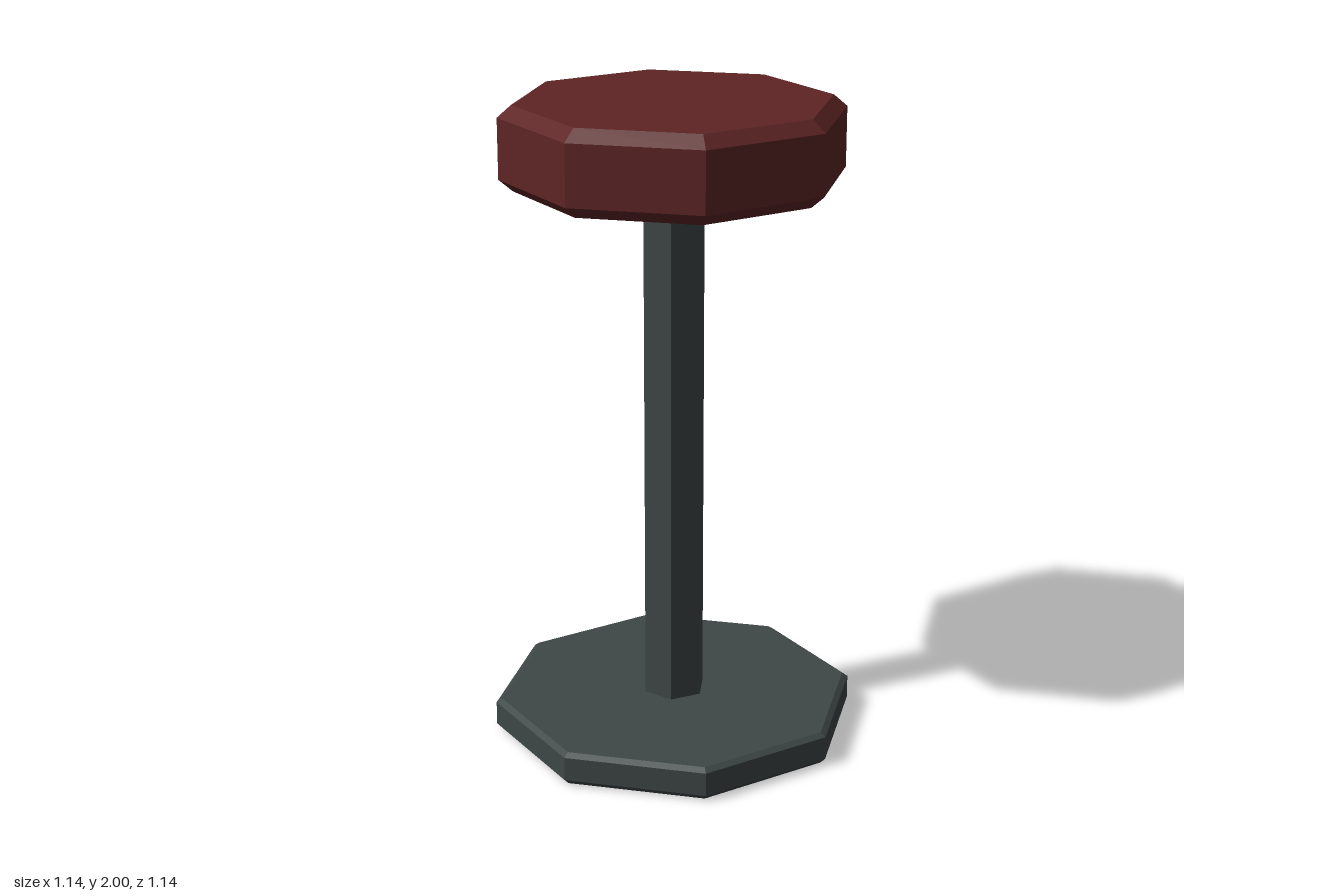
import * as THREE from 'three';

const upholstery = new THREE.MeshStandardMaterial({ color: 0x5e2424, flatShading: true });
upholstery.name = 'dark red upholstery';
const metal = new THREE.MeshStandardMaterial({ color: 0x3e4646, flatShading: true });
metal.name = 'dark grey metal';

// Closed eight-sided disc with chamfered rims, corners on the x and z axes
function bevelledDisc(name, material, y0, y1, radius, rim, lower, upper) {
  const profile = [
    [0, y0], [rim, y0], [radius, y0 + lower],
    [radius, y1 - upper], [rim, y1], [0, y1],
  ].map(([r, y]) => new THREE.Vector2(r, y));
  const mesh = new THREE.Mesh(new THREE.LatheGeometry(profile, 8), material);
  mesh.name = name;
  return mesh;
}

export function createModel() {
  const stool = new THREE.Group();
  stool.name = 'barStool';

  // Floor plate
  stool.add(bevelledDisc('base', metal, 0, 0.105, 0.57, 0.552, 0.018, 0.012));

  // Hexagonal column, running slightly into plate and seat
  const post = new THREE.Mesh(new THREE.CylinderGeometry(0.1, 0.1, 1.68, 6), metal);
  post.name = 'post';
  post.position.y = 0.925;
  stool.add(post);

  // Padded seat
  stool.add(bevelledDisc('seat', upholstery, 1.745, 2, 0.52, 0.478, 0.036, 0.036));

  return stool;
}
